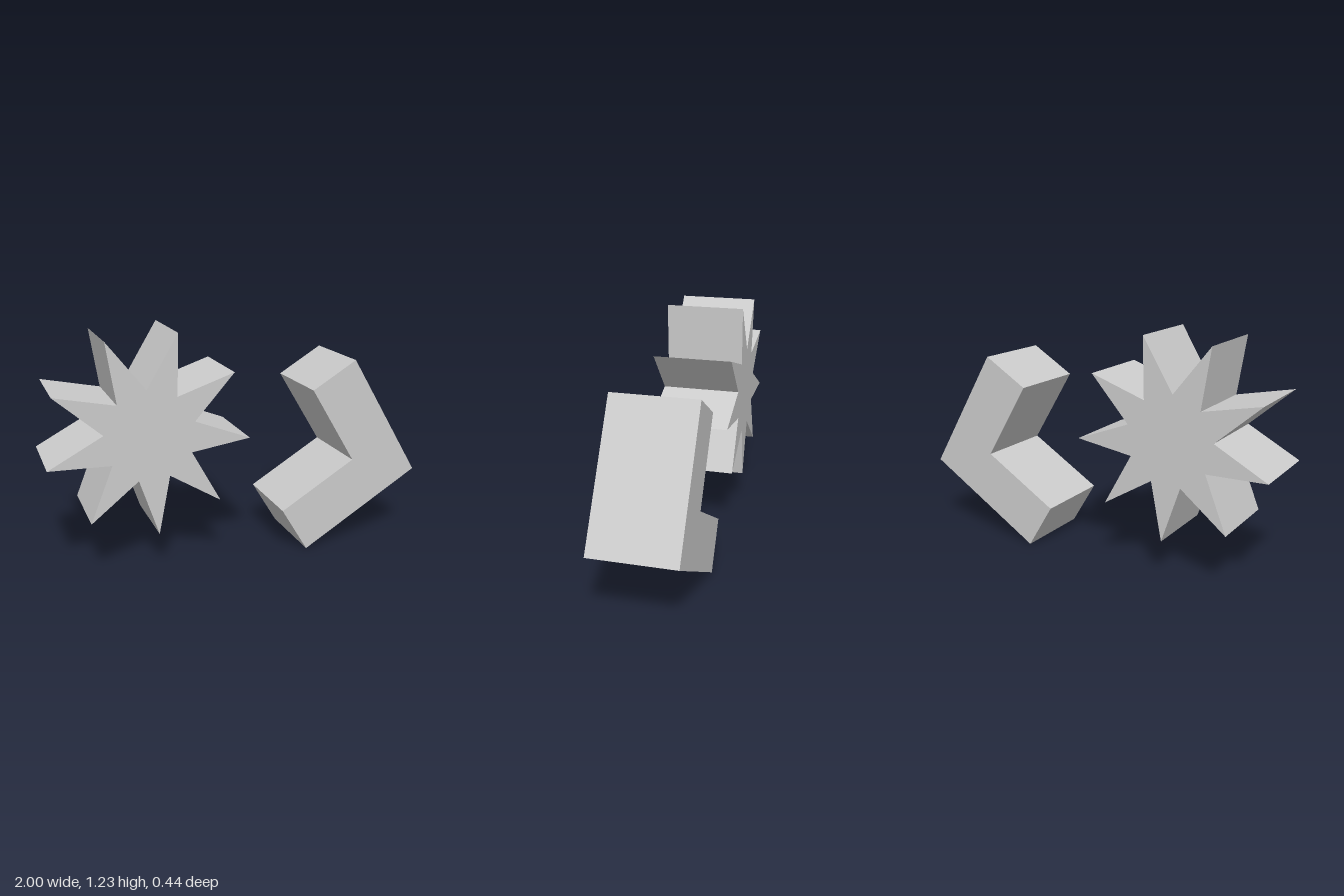
import * as THREE from 'three';

const material = new THREE.MeshStandardMaterial({ color: 0xcccccc, flatShading: true });

// Prism with the given outline, spanning z from back to front
function prism(name, points, back, front) {
  const shape = new THREE.Shape(points.map(([x, y]) => new THREE.Vector2(x, y)));
  const geometry = new THREE.ExtrudeGeometry(shape, { depth: front - back, bevelEnabled: false });
  geometry.translate(0, 0, back);
  const mesh = new THREE.Mesh(geometry, material);
  mesh.name = name;
  return mesh;
}

export function createModel() {
  const model = new THREE.Group();
  model.name = 'starAndAngleBlock';

  // Nine-pointed star, alternating tip and notch radii
  const tips = 9, tipRadius = 0.523, notchRadius = 0.234;
  const outline = [];
  for (let i = 0; i < tips * 2; i++) {
    const a = (i * Math.PI) / tips;
    const r = i % 2 ? notchRadius : tipRadius;
    outline.push([r * Math.cos(a), r * Math.sin(a)]);
  }
  const star = prism('star', outline, -0.218, 0.203);
  star.position.set(-0.491, 0.724, 0);
  star.rotation.z = THREE.MathUtils.degToRad(-6.6);
  model.add(star);

  // L-shaped block, tilted about its outer corner
  const arm = 0.75, width = 0.278;
  const block = prism('angleBlock', [
    [0, 0], [0, arm], [-width, arm], [-width, width], [-arm, width], [-arm, 0],
  ], -0.218, 0.218);
  block.position.set(1, 0.387, 0);
  block.rotation.z = THREE.MathUtils.degToRad(31.1);
  model.add(block);

  return model;
}
